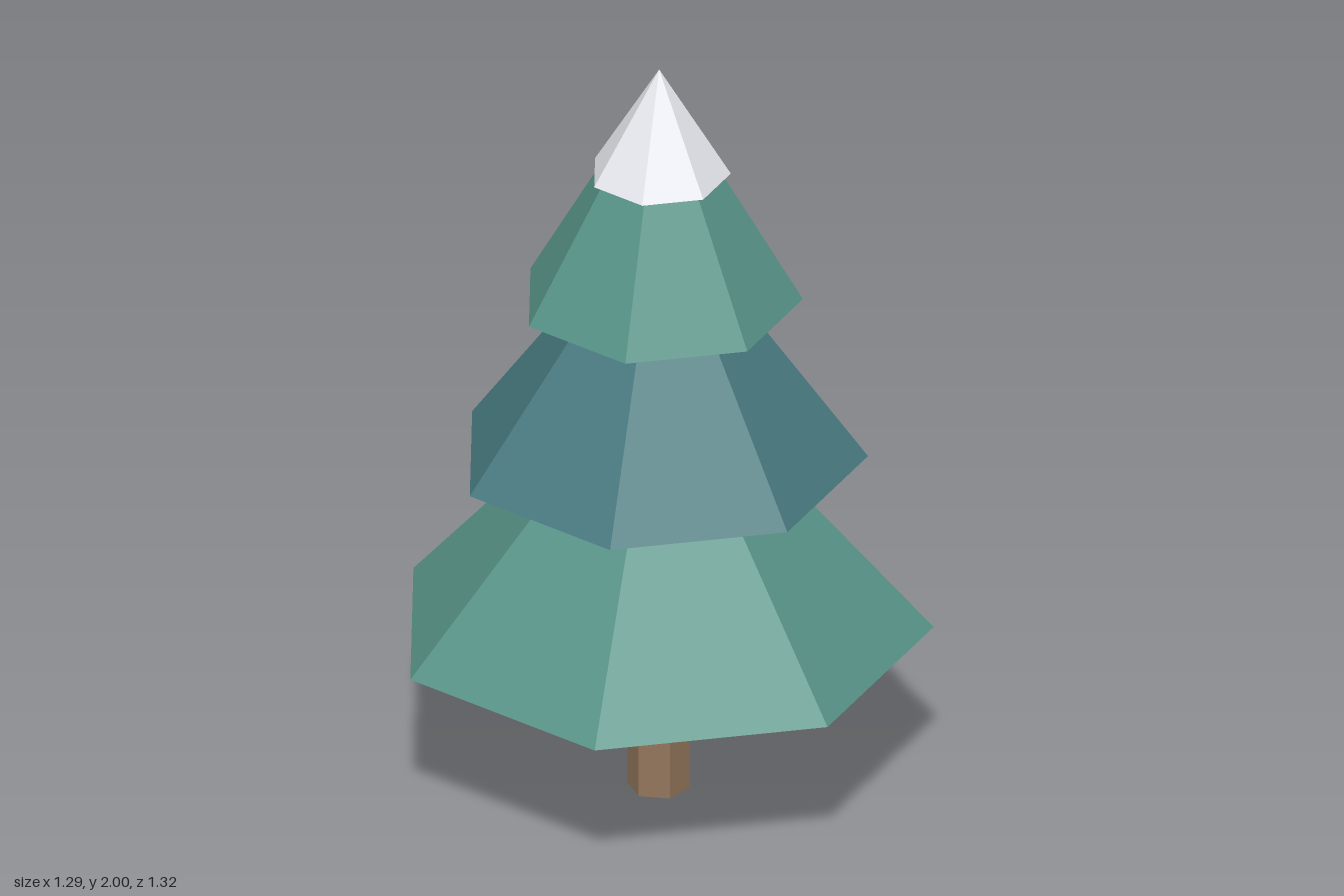
import * as THREE from 'three';

const CENTRE_X = -0.035;

const material = (color) => new THREE.MeshStandardMaterial({ color, flatShading: true });

export function createModel() {
  const group = new THREE.Group();
  const green = material(0x589488);
  const teal = material(0x487a80);
  const snow = material(0xe8eaf0);
  const bark = material(0x92765c);

  // Closed seven-sided cone with one corner towards +x
  function addCone(name, radius, base, apex, mat) {
    const geometry = new THREE.ConeGeometry(radius, apex - base, 7);
    geometry.rotateY(Math.PI / 2);
    const mesh = new THREE.Mesh(geometry, mat);
    mesh.name = name;
    mesh.position.set(CENTRE_X, (base + apex) / 2, 0);
    group.add(mesh);
  }

  // Foliage tiers
  addCone('lowerFoliage', 0.678, 0.445, 1.22, green);
  addCone('middleFoliage', 0.516, 0.922, 1.635, teal);
  addCone('upperFoliage', 0.355, 1.36, 1.98, green);

  // Snow caps, the lower two peeking out under the next tier
  addCone('lowerSnow', 0.335, 0.882, 1.25, snow);
  addCone('middleSnow', 0.255, 1.317, 1.68, snow);
  addCone('topSnow', 0.177, 1.71, 2, snow);

  // Hexagonal trunk
  const trunkGeometry = new THREE.CylinderGeometry(0.078, 0.078, 0.5, 6);
  trunkGeometry.rotateY(Math.PI / 2);
  const trunk = new THREE.Mesh(trunkGeometry, bark);
  trunk.name = 'trunk';
  trunk.position.set(CENTRE_X - 0.002, 0.25, 0);
  group.add(trunk);

  return group;
}
